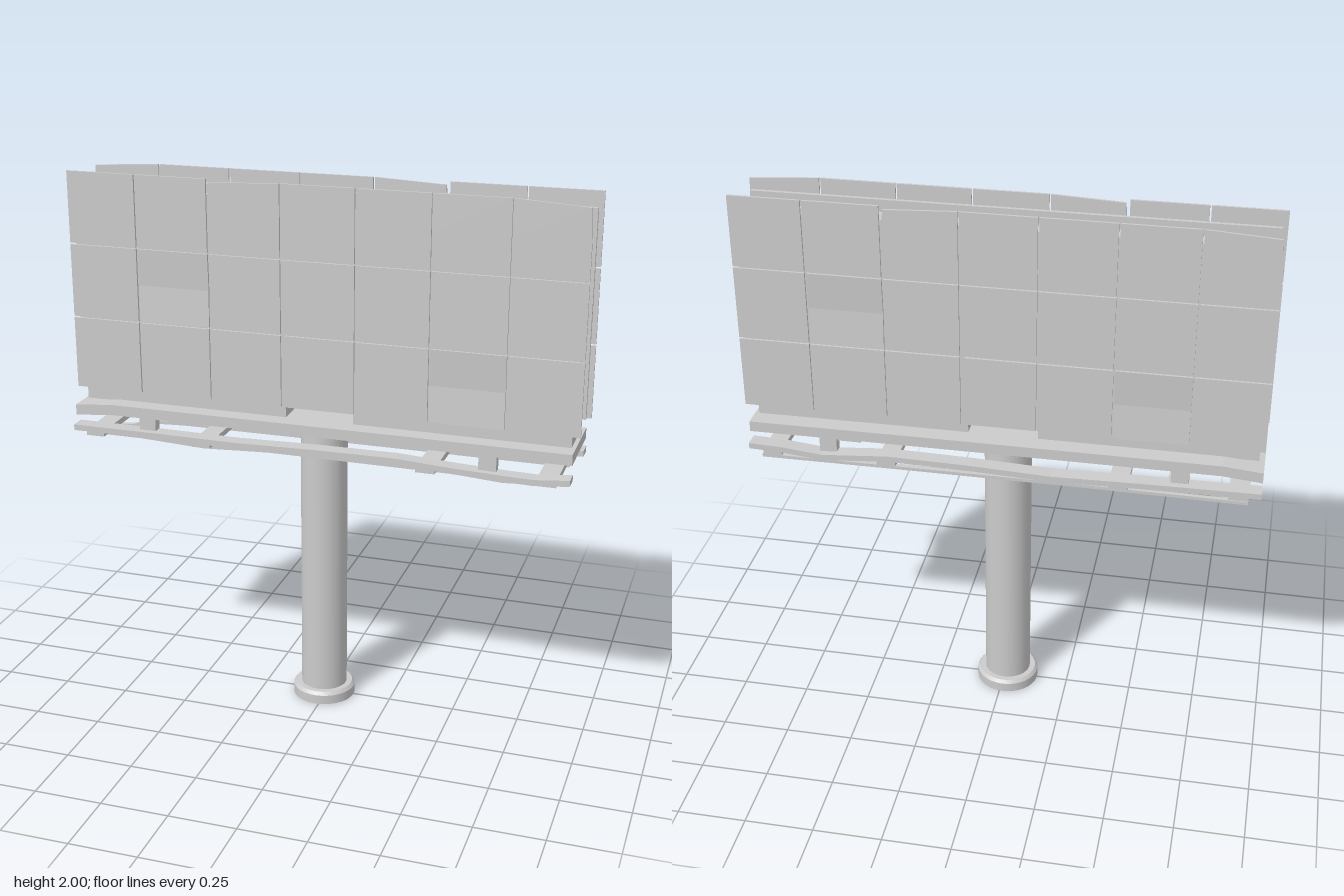
import * as THREE from 'three';

const grey = new THREE.MeshStandardMaterial({ color: 0xcccccc });
const flat = new THREE.MeshStandardMaterial({ color: 0xcccccc, flatShading: true });

function add(parent, name, geometry, material = flat) {
  const mesh = new THREE.Mesh(geometry, material);
  mesh.name = name;
  parent.add(mesh);
  return mesh;
}

// Box given by its lower and upper limits on each axis
function box(parent, name, [x0, x1], [y0, y1], [z0, z1]) {
  const g = new THREE.BoxGeometry(x1 - x0, y1 - y0, z1 - z0);
  g.translate((x0 + x1) / 2, (y0 + y1) / 2, (z0 + z1) / 2);
  return add(parent, name, g);
}

// Long warped bar: points are [x, centre height]
function warpedBar(parent, name, points, thickness, [z0, z1]) {
  const n = points.length - 1;
  const g = new THREE.BoxGeometry(n, thickness, z1 - z0, n, 1, 1);
  const p = g.attributes.position;
  for (let i = 0; i < p.count; i++) {
    const [x, y] = points[Math.round(p.getX(i) + n / 2)];
    p.setXYZ(i, x, p.getY(i) + y, p.getZ(i) + (z0 + z1) / 2);
  }
  g.computeVertexNormals();
  return add(parent, name, g);
}

// Sign panels: seams, dented sheets and displaced corners
const columns = [-0.95, -0.685, -0.41, -0.138, 0.135, 0.405, 0.68, 0.947];
const rows = [1.19, 1.46, 1.735, 2.0];
const dented = ['1,1', '5,0'];
const nudges = {
  '2,2': { left: 0.008, drop: [0.012, 0] },
  '6,2': { right: -0.008, drop: [0, 0.016] },
  '3,0': { left: 0.01, drop: [0, 0] },
};

function signFace() {
  const face = new THREE.Group();
  box(face, 'backingSheet', [-0.93, 0.93], [1.19, 1.945], [0.083, 0.098]);
  const gap = 0.003;
  for (let c = 0; c < 7; c++) {
    for (let r = 0; r < 3; r++) {
      const x0 = columns[c] + gap, x1 = columns[c + 1] - gap;
      const y0 = rows[r] + (r ? gap : 0), y1 = rows[r + 1] - (r < 2 ? gap : 0);
      const g = new THREE.BoxGeometry(x1 - x0, y1 - y0, 0.009, 1, 2, 1);
      const p = g.attributes.position;
      const key = `${c},${r}`, nudge = nudges[key];
      for (let i = 0; i < p.count; i++) {
        const right = p.getX(i) > 0, top = p.getY(i) > 0.01;
        const middle = Math.abs(p.getY(i)) < 0.01;
        if (dented.includes(key) && middle) p.setZ(i, p.getZ(i) - 0.007);
        if (nudge && top) {
          p.setX(i, p.getX(i) + ((right ? nudge.right : nudge.left) || 0));
          p.setY(i, p.getY(i) - nudge.drop[right ? 1 : 0]);
        }
      }
      g.translate((x0 + x1) / 2, (y0 + y1) / 2, 0.1075);
      g.computeVertexNormals();
      add(face, 'signPanel', g);
    }
  }
  return face;
}

export function createModel() {
  const model = new THREE.Group();
  model.name = 'billboard';

  // Round pole with a chamfered foot
  const pole = new THREE.Group();
  pole.name = 'pole';
  pole.position.set(-0.013, 0, 0.002);
  const shaft = new THREE.CylinderGeometry(0.087, 0.087, 1.07, 32);
  shaft.translate(0, 0.565, 0);
  add(pole, 'poleShaft', shaft, grey);
  const foot = new THREE.CylinderGeometry(0.118, 0.118, 0.036, 32);
  foot.translate(0, 0.018, 0);
  add(pole, 'poleFoot', foot, grey);
  const chamfer = new THREE.CylinderGeometry(0.108, 0.118, 0.012, 32);
  chamfer.translate(0, 0.042, 0);
  add(pole, 'footChamfer', chamfer, grey);
  model.add(pole);

  // Two sign faces, back to back
  for (const [name, turn] of [['frontSign', 0], ['backSign', Math.PI]]) {
    const face = signFace();
    face.name = name;
    face.rotation.y = turn;
    face.position.z = 0.003;
    model.add(face);
  }

  // Frame between the faces
  const frame = new THREE.Group();
  frame.name = 'innerFrame';
  box(frame, 'topBeam', [-0.925, 0.91], [1.83, 1.9], [-0.082, 0.087]);
  box(frame, 'middleBeam', [-0.925, 0.91], [1.32, 1.385], [-0.082, 0.087]);
  for (const span of [[-0.925, -0.135], [0.12, 0.91]])
    box(frame, 'bottomBeam', span, [1.135, 1.25], [-0.075, 0.08]);
  for (const x of [-0.62, -0.2, 0.2, 0.62])
    box(frame, 'framePost', [x - 0.045, x + 0.045], [1.24, 1.84], [-0.042, 0.048]);
  model.add(frame);

  // Upper platform, sagging at one end
  const platform = new THREE.Group();
  platform.name = 'platform';
  warpedBar(platform, 'platformDeck',
    [[-0.945, 1.107], [-0.8, 1.12], [-0.4, 1.12], [0.3, 1.12], [0.925, 1.118]],
    0.04, [-0.145, 0.148]);
  box(platform, 'deckRib', [0.51, 0.66], [1.085, 1.1], [-0.13, 0.13]);
  model.add(platform);

  // Warped walkways along both sides with their spacers
  const walkway = new THREE.Group();
  walkway.name = 'walkway';
  const frontLine = [[-0.945, 1.045], [-0.6, 1.045], [-0.3, 1.043], [0, 1.05],
    [0.3, 1.052], [0.5, 1.04], [0.7, 1.032], [0.8, 1.03], [0.925, 1.042]];
  const backLine = [[-0.945, 1.045], [-0.5, 1.04], [-0.2, 1.033], [0.1, 1.045],
    [0.4, 1.05], [0.65, 1.03], [0.8, 1.045], [0.925, 1.05]];
  warpedBar(walkway, 'frontPlank', frontLine, 0.022, [0.115, 0.173]);
  warpedBar(walkway, 'backPlank', backLine, 0.022, [-0.17, -0.112]);
  for (const z of [-0.125, 0.13])
    for (const x of [-0.655, 0.63])
      box(walkway, 'spacer', [x - 0.032, x + 0.032], [1.04, 1.102], [z - 0.018, z + 0.018]);
  for (const x of [-0.865, -0.44, 0.41, 0.84])
    box(walkway, 'crossBar', [x - 0.035, x + 0.035], [1.015, 1.037], [-0.16, 0.16]);
  model.add(walkway);

  // Thin rails hanging under the cross bars
  const rails = new THREE.Group();
  rails.name = 'lowerRails';
  warpedBar(rails, 'frontRail', [[-0.9, 1.01], [-0.7, 1.01], [-0.45, 0.998],
    [-0.2, 1.01], [0.5, 1.008], [0.68, 0.996], [0.88, 1.012]], 0.012, [0.085, 0.105]);
  warpedBar(rails, 'backRail', [[-0.9, 0.973], [-0.83, 0.977], [-0.74, 1.002],
    [-0.6, 1.008], [0, 1.01], [0.88, 1.01]], 0.012, [-0.102, -0.082]);
  warpedBar(rails, 'outerRail', [[-0.9, 1.005], [-0.3, 1.01], [0.3, 1.01],
    [0.88, 1.008]], 0.012, [-0.158, -0.142]);
  model.add(rails);

  return model;
}
